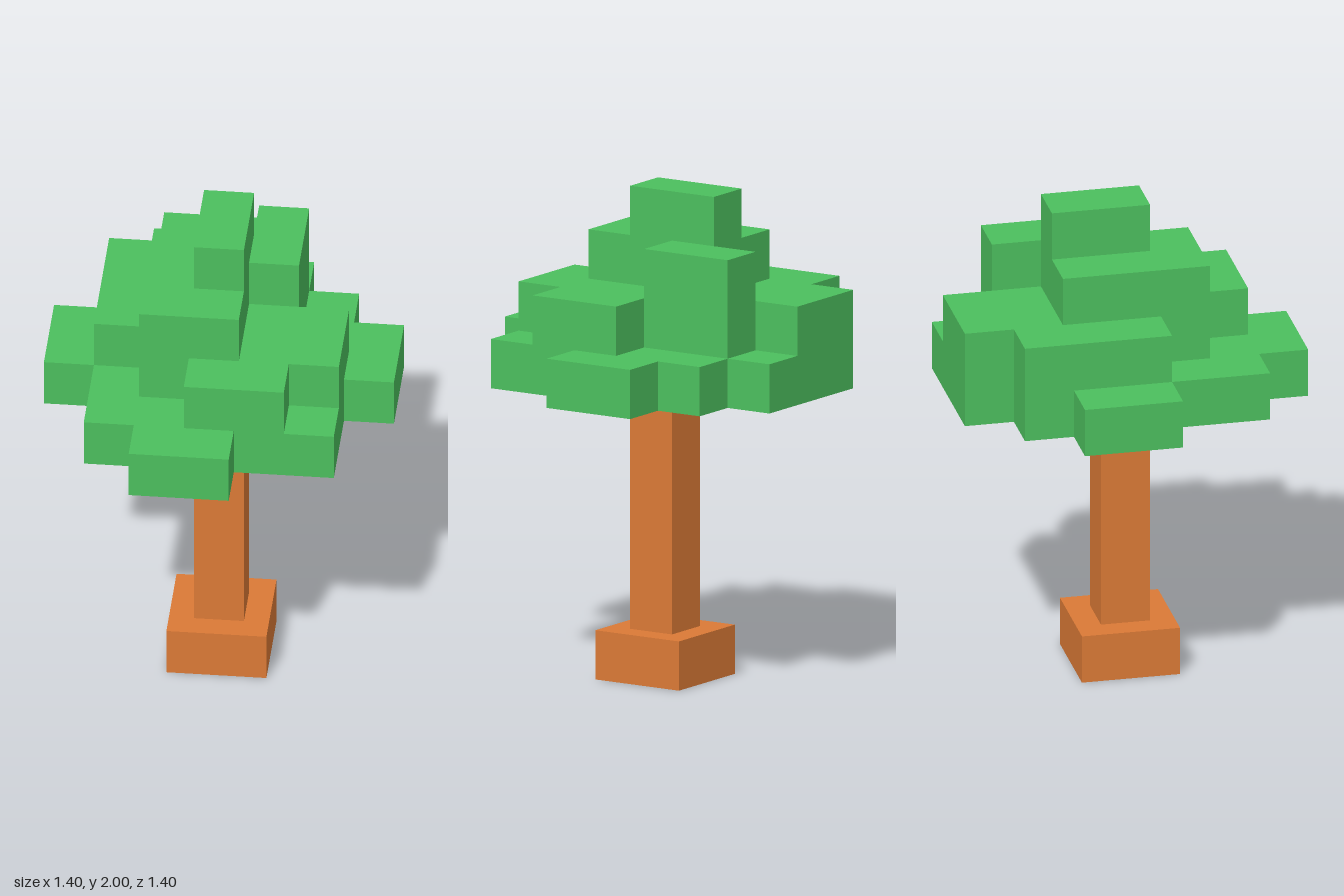
import * as THREE from 'three';

const bark = new THREE.MeshStandardMaterial({ color: 0xdb7a36 });
const leaf = new THREE.MeshStandardMaterial({ color: 0x4cbf5e });
const STEP = 0.2; // height of one block layer

// Canopy layers from bottom to top: outlines as [x, z] in tenths of a unit
const layers = [
  [[-3, -7], [3, -7], [3, -5], [5, -5], [5, -3], [7, -3], [7, 1], [5, 1], [5, 5], [1, 5],
    [1, 7], [-3, 7], [-3, 5], [-5, 5], [-5, 1], [-7, 1], [-7, -3], [-5, -3], [-5, -5], [-3, -5]],
  [[-3, -7], [1, -7], [1, -5], [3, -5], [3, -1], [5, -1], [5, 3], [3, 3],
    [3, 5], [-1, 5], [-1, 3], [-3, 3], [-3, 1], [-5, 1], [-5, -5], [-3, -5]],
  [[1, -5], [3, -5], [3, -1], [1, -1], [1, 3], [-3, 3], [-3, -3], [1, -3]],
  [[-1, -3], [1, -3], [1, 1], [-1, 1]],
];

function block(name, width, height, bottom) {
  const mesh = new THREE.Mesh(new THREE.BoxGeometry(width, height, width), bark);
  mesh.name = name;
  mesh.position.y = bottom + height / 2;
  return mesh;
}

function canopyLayer(outline, i) {
  const shape = new THREE.Shape(outline.map(([x, z]) => new THREE.Vector2(x / 10, -z / 10)));
  const geometry = new THREE.ExtrudeGeometry(shape, { depth: STEP, bevelEnabled: false });
  geometry.rotateX(-Math.PI / 2); // extrusion points up
  const mesh = new THREE.Mesh(geometry, leaf);
  mesh.name = `canopyLayer${i + 1}`;
  mesh.position.y = 1.2 + i * STEP;
  return mesh;
}

export function createModel() {
  const tree = new THREE.Group();
  tree.name = 'tree';

  // Square foot and trunk
  tree.add(block('trunkBase', 0.4, 0.2, 0), block('trunk', 0.2, 1, 0.2));

  // Stepped canopy
  const canopy = new THREE.Group();
  canopy.name = 'canopy';
  canopy.add(...layers.map(canopyLayer));
  tree.add(canopy);

  return tree;
}
